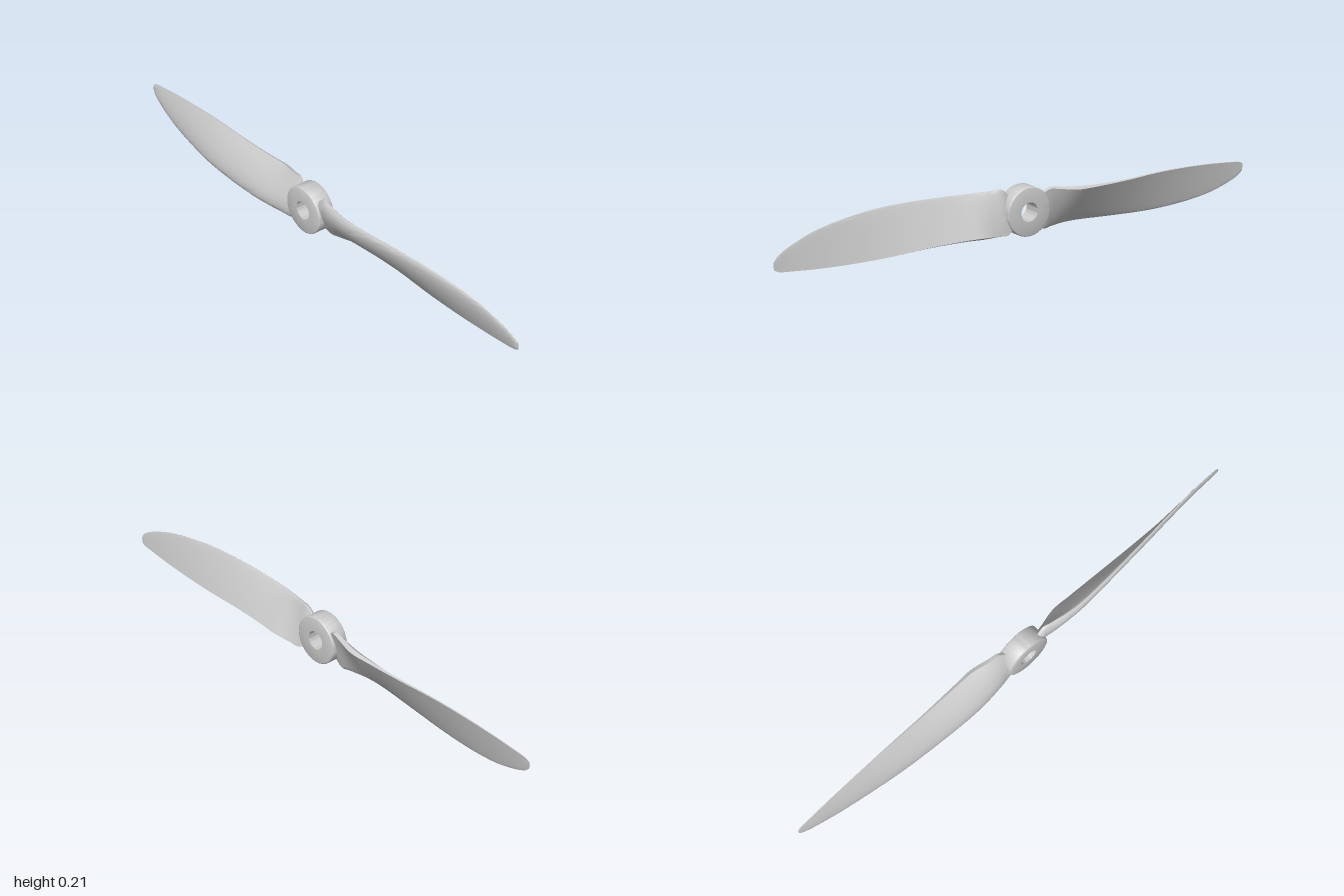
import * as THREE from 'three';
import { toCreasedNormals } from 'three/addons/utils/BufferGeometryUtils.js';

const HUB_Y = 0.109;

// Blade stations: x, leading edge y z, trailing edge y z, thickness, trailing edge thickness
const STATIONS = [
  [0.055, 0.165, 0.012, 0.062, -0.018, 0.022, 0.012],
  [0.09, 0.196, 0.012, 0.040, -0.030, 0.026, 0.014],
  [0.13, 0.196, 0.020, 0.045, -0.038, 0.029, 0.016],
  [0.20, 0.196, 0.032, 0.055, -0.052, 0.030, 0.017],
  [0.28, 0.200, 0.036, 0.059, -0.049, 0.027, 0.012],
  [0.42, 0.209, 0.030, 0.060, -0.044, 0.022, 0.007],
  [0.58, 0.214, 0.018, 0.056, -0.040, 0.018, 0.005],
  [0.72, 0.206, 0.003, 0.059, -0.037, 0.014, 0.004],
  [0.84, 0.188, -0.010, 0.066, -0.035, 0.010, 0.003],
  [0.93, 0.160, -0.020, 0.075, -0.033, 0.007, 0.003],
  [0.98, 0.136, -0.026, 0.081, -0.032, 0.005, 0.002],
  [1.00, 0.117, -0.029, 0.090, -0.031, 0.003, 0.002],
];

// Airfoil loop: front face from leading to trailing edge, then the back face
function section(L, T, thick, n) {
  const chord = new THREE.Vector2(T.y - L.y, T.z - L.z);
  const normal = new THREE.Vector2(chord.y, -chord.x).normalize();
  const at = (s, h) => [L.x, L.y + chord.x * s + normal.x * h - HUB_Y, L.z + chord.y * s + normal.y * h];
  const bulge = (s) => 2.6 * Math.sqrt(s) * (1 - s) * thick.y;
  const loop = [];
  for (let i = 0; i <= n; i++) {
    const s = (i / n) ** 2;
    loop.push(at(s, bulge(s) + thick.z * s));
  }
  for (let i = n; i > 0; i--) {
    const s = (i / n) ** 2;
    loop.push(at(s, -0.12 * bulge(s)));
  }
  return loop;
}

function bladeGeometry() {
  const spline = (a, b) => new THREE.CatmullRomCurve3(
    STATIONS.map((s) => new THREE.Vector3(s[0], s[a], s[b])), false, 'catmullrom', 0.5);
  const lead = spline(1, 2), trail = spline(3, 4), thick = spline(5, 6);
  const rows = 77, n = 14, count = 2 * n + 1;
  const positions = [], index = [];
  for (let r = 0; r <= rows; r++) {
    const u = r / rows;
    section(lead.getPoint(u), trail.getPoint(u), thick.getPoint(u), n).forEach((p) => positions.push(...p));
  }
  for (let r = 0; r < rows; r++) {
    for (let i = 0; i < count; i++) {
      const a = r * count + i, b = r * count + (i + 1) % count;
      index.push(a, b, a + count, b, b + count, a + count);
    }
  }
  // End caps, joining front and back points across the section
  const end = rows * count;
  for (let i = 1; i < count - 1; i++) {
    index.push(0, i + 1, i);
    index.push(end, end + i, end + i + 1);
  }
  const g = new THREE.BufferGeometry();
  g.setAttribute('position', new THREE.Float32BufferAttribute(positions, 3));
  g.setIndex(index);
  return toCreasedNormals(g, 0.7);
}

export function createModel() {
  const model = new THREE.Group();
  model.name = 'propeller';
  const material = new THREE.MeshStandardMaterial({ color: 0xcccccc, side: THREE.DoubleSide });

  // Hub ring with softened rims and a shaft hole
  const back = -0.031, front = 0.037, R = 0.09, bore = 0.035, e = 0.004;
  const profile = [
    [bore, back], [R - e, back], [R - 0.3 * e, back + 0.3 * e], [R, back + e],
    [R, front - e], [R - 0.3 * e, front - 0.3 * e], [R - e, front], [bore, front], [bore, back],
  ].map(([r, z]) => new THREE.Vector2(r, z));
  const hubGeometry = toCreasedNormals(new THREE.LatheGeometry(profile, 64).rotateX(Math.PI / 2), 0.8);
  const hub = new THREE.Mesh(hubGeometry, material);
  hub.name = 'hub';
  hub.position.y = HUB_Y;
  model.add(hub);

  // Two identical twisted blades, half a turn apart
  const geometry = bladeGeometry();
  ['leftBlade', 'rightBlade'].forEach((name, i) => {
    const blade = new THREE.Mesh(geometry, material);
    blade.name = name;
    blade.position.y = HUB_Y;
    blade.rotation.z = i * Math.PI;
    model.add(blade);
  });
  return model;
}
